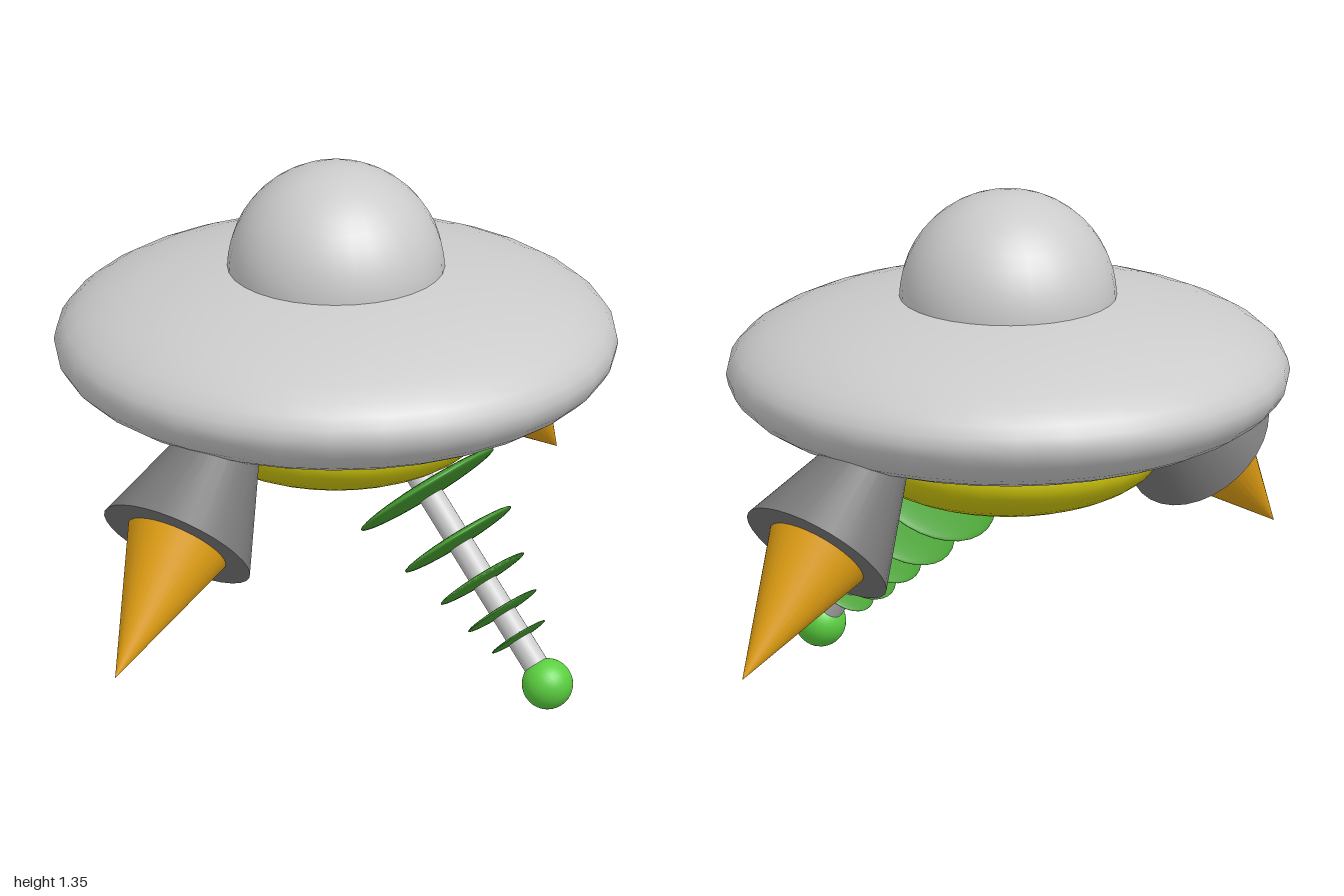
import * as THREE from 'three';

const material = (color) => new THREE.MeshStandardMaterial({ color });
const grey = material(0xcccccc);
const darkGrey = material(0x777777);
const yellow = material(0xd0c80c);
const orange = material(0xe6a314);
const discGreen = material(0x48a032);
const ballGreen = material(0x5bd040);

function add(parent, name, geometry, mat, y = 0) {
  const mesh = new THREE.Mesh(geometry, mat);
  mesh.name = name;
  mesh.position.y = y;
  parent.add(mesh);
  return mesh;
}

// Sphere flattened along y
const ellipsoid = (r, ry) => new THREE.SphereGeometry(r, 32, 24).scale(1, ry / r, 1);

// Flared nozzle with a flame cone; local -y points outward, origin at the nozzle mouth
function createThruster(name) {
  const thruster = new THREE.Group();
  thruster.name = name;
  add(thruster, 'nozzle', new THREE.CylinderGeometry(0.065, 0.205, 0.4, 32), darkGrey, 0.2);
  add(thruster, 'flame', new THREE.ConeGeometry(0.137, 0.396, 32).rotateX(Math.PI), orange, -0.198);
  return thruster;
}

// Rod with shrinking lens-shaped discs and a ball; local -y points to the ball
function createAntenna() {
  const antenna = new THREE.Group();
  antenna.name = 'antenna';
  add(antenna, 'rod', new THREE.CylinderGeometry(0.033, 0.033, 0.73, 24), grey, -0.225);
  const discs = [[0, 0.2], [0.151, 0.16], [0.27, 0.126], [0.367, 0.103], [0.446, 0.08]];
  discs.forEach(([d, r], i) => add(antenna, `disc${i + 1}`, ellipsoid(r, r * 0.1), discGreen, -d));
  add(antenna, 'ball', new THREE.SphereGeometry(0.066, 32, 16), ballGreen, -0.588);
  return antenna;
}

export function createModel() {
  const model = new THREE.Group();
  model.name = 'flyingSaucer';

  // Saucer body
  add(model, 'hull', ellipsoid(0.725, 0.222), grey, 0.87);
  add(model, 'dome', new THREE.SphereGeometry(0.28, 32, 24), grey, 1.07);
  add(model, 'belly', ellipsoid(0.405, 0.16), yellow, 0.68);

  // Thrusters slanting out at the front and back
  for (const side of [1, -1]) {
    const thruster = createThruster(side > 0 ? 'frontThruster' : 'backThruster');
    thruster.position.set(0, 0.538, side * 0.718);
    thruster.rotation.x = -side * Math.PI / 4;
    model.add(thruster);
  }

  // Antenna slanting down on the left
  const antenna = createAntenna();
  antenna.position.set(0.285, 0.522, 0);
  antenna.rotation.z = Math.atan2(0.638, 0.77);
  model.add(antenna);

  return model;
}
